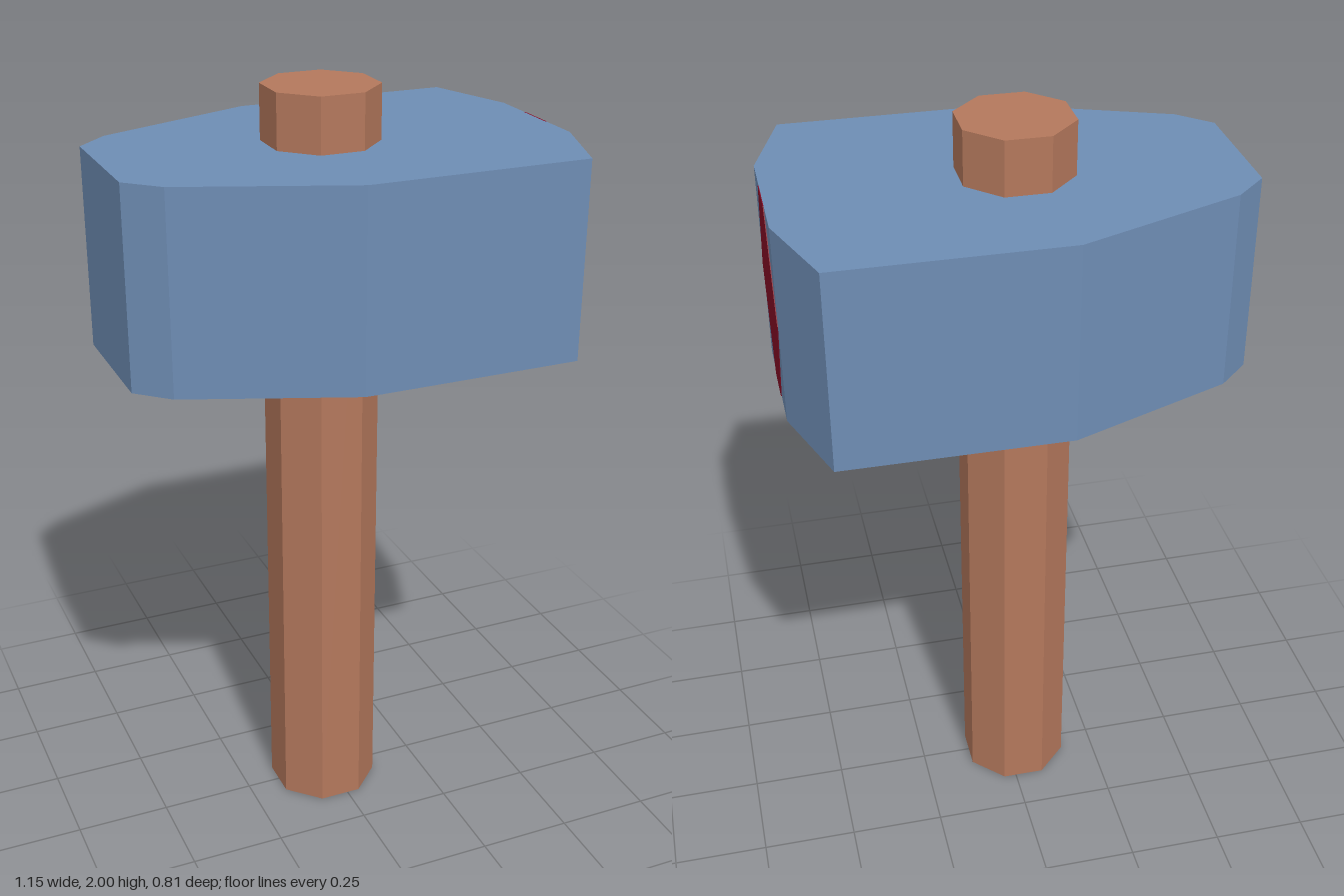
import * as THREE from 'three';

const material = (name, color) => {
  const m = new THREE.MeshStandardMaterial({ color });
  m.name = name;
  return m;
};

// Straight extrusion of a closed outline given as [x, y] pairs
const prism = (points, depth) =>
  new THREE.ExtrudeGeometry(
    new THREE.Shape(points.map(([x, y]) => new THREE.Vector2(x, y))),
    { depth, bevelEnabled: false }
  );

export function createModel() {
  const steel = material('blueSteel', 0x6e8db4);
  const wood = material('brownWood', 0xb4785c);
  const red = material('darkRed', 0x870e26);

  const group = new THREE.Group();
  group.name = 'hammer';
  const add = (name, geometry, mat) => {
    const mesh = new THREE.Mesh(geometry, mat);
    mesh.name = name;
    group.add(mesh);
    return mesh;
  };

  // Octagonal handle running through the head, flats facing the axes
  const handleGeometry = new THREE.CylinderGeometry(0.147, 0.147, 2, 8, 1, false, Math.PI / 8).toNonIndexed();
  handleGeometry.computeVertexNormals();
  add('handle', handleGeometry, wood).position.set(-0.022, 1, 0);

  // Head: half outline mirrored across the x axis, extruded upward
  const half = [[-0.575, 0.168], [-0.495, 0.243], [-0.078, 0.404], [0.493, 0.404], [0.573, 0.168]];
  const outline = [...half.map(([x, z]) => [x, -z]), ...half.slice().reverse()];
  const headGeometry = prism(outline, 0.507);
  headGeometry.rotateX(-Math.PI / 2);
  add('head', headGeometry, steel).position.y = 1.355;

  // Six-sided painted mark on the broad striking face
  const mark = [[-0.055, -0.2535], [0.055, -0.2535], [0.163, 0], [0.055, 0.2535], [-0.055, 0.2535], [-0.163, 0]];
  const markGeometry = prism(mark, 0.004);
  markGeometry.rotateY(Math.PI / 2);
  add('strikingFaceMark', markGeometry, red).position.set(0.571, 1.6085, 0);

  return group;
}
